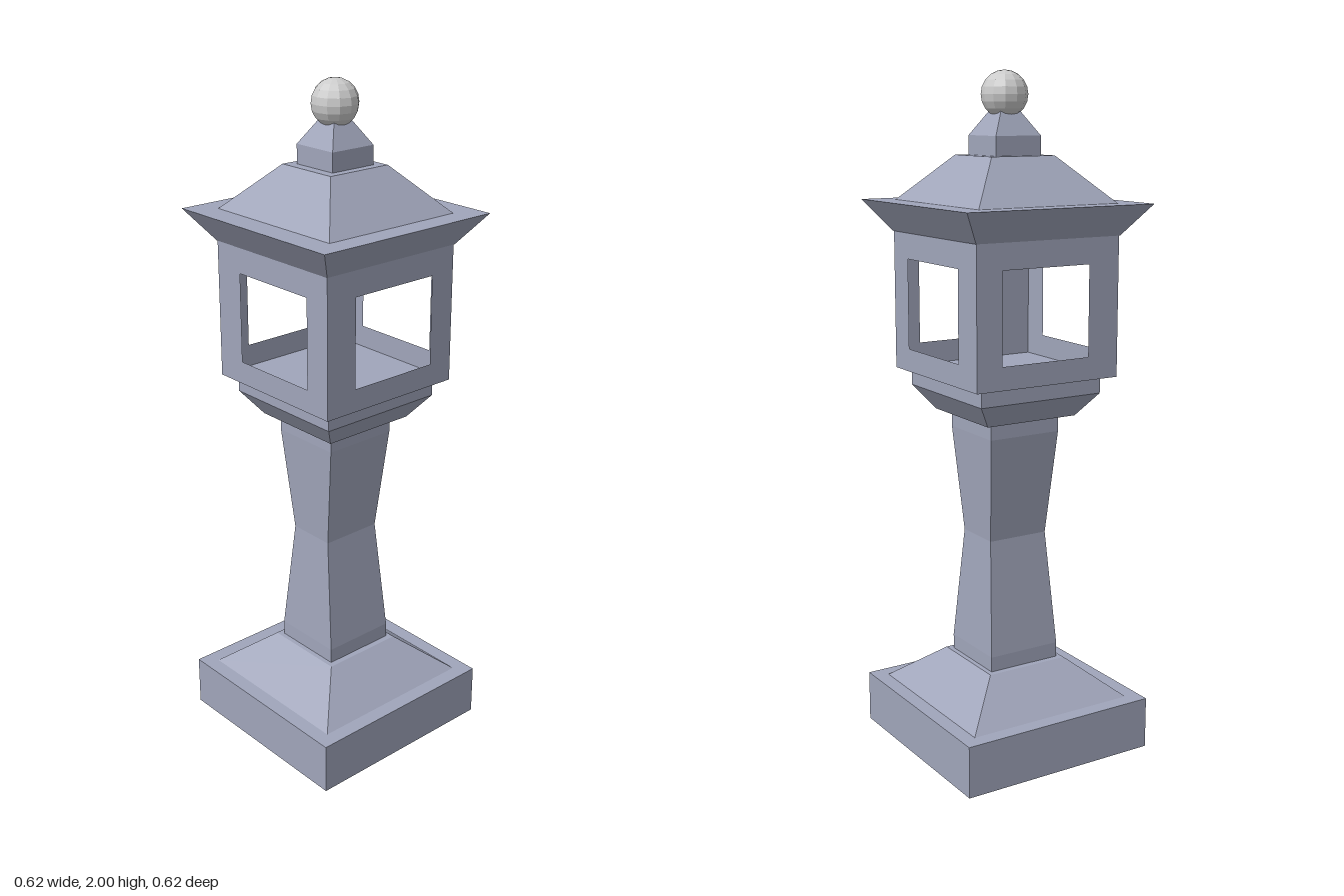
import * as THREE from 'three';

const stone = new THREE.MeshStandardMaterial({ color: 0xa0a5ba, flatShading: true });
const thinStone = stone.clone();
thinStone.side = THREE.DoubleSide;
const ballMaterial = new THREE.MeshStandardMaterial({ color: 0xcccccc, flatShading: true });

// Square block through sections [y, half width, half depth], listed bottom to top
function loft(name, sections, openBottom = false) {
  const n = sections.length - 1;
  const geometry = new THREE.BoxGeometry(2, n, 2, 1, n, 1);
  const p = geometry.attributes.position;
  for (let i = 0; i < p.count; i++) {
    const [y, hx, hz = hx] = sections[Math.round(p.getY(i) + n / 2)];
    p.setXYZ(i, p.getX(i) * hx, y, p.getZ(i) * hz);
  }
  if (openBottom) {
    const { start, count } = geometry.groups[3];
    const index = Array.from(geometry.index.array);
    index.splice(start, count);
    geometry.setIndex(index);
  }
  geometry.clearGroups();
  geometry.computeVertexNormals();
  const mesh = new THREE.Mesh(geometry, openBottom ? thinStone : stone);
  mesh.name = name;
  return mesh;
}

// Thin wall with a window, shifted sideways by offset
function windowWall(half, y0, y1, offset) {
  const shape = new THREE.Shape([
    new THREE.Vector2(-half, y0), new THREE.Vector2(half, y0),
    new THREE.Vector2(half, y1), new THREE.Vector2(-half, y1),
  ]);
  const w = 0.143, b = 1.207, t = 1.47;
  shape.holes.push(new THREE.Path([
    new THREE.Vector2(offset - w, b), new THREE.Vector2(offset - w, t),
    new THREE.Vector2(offset + w, t), new THREE.Vector2(offset + w, b),
  ]));
  return new THREE.Mesh(new THREE.ShapeGeometry(shape).translate(0, 0, half), thinStone);
}

export function createModel() {
  const model = new THREE.Group();
  model.name = 'stoneLantern';

  // Hollow plinth, sloped foot, waisted column and flared capital
  model.add(
    loft('plinth', [[0, 0.31], [0.155, 0.31]], true),
    loft('foot', [[0.155, 0.265], [0.265, 0.13]]),
    loft('column', [[0.265, 0.115, 0.112], [0.31, 0.115, 0.112], [0.655, 0.095, 0.075],
      [0.97, 0.115, 0.112], [1.02, 0.115, 0.112]]),
    loft('capital', [[1.02, 0.148], [1.09, 0.2], [1.14, 0.2]]),
  );

  // Lamp chamber: four windowed walls and a floor
  const chamber = new THREE.Group();
  chamber.name = 'lampChamber';
  const half = 0.234;
  [0.01, -0.008, -0.01, 0.008].forEach((offset, i) => {
    const wall = windowWall(half, 1.14, 1.545, offset);
    wall.name = 'windowWall';
    wall.rotation.y = i * Math.PI / 2;
    chamber.add(wall);
  });
  const floor = new THREE.Mesh(new THREE.PlaneGeometry(2 * half, 2 * half), thinStone);
  floor.name = 'chamberFloor';
  floor.rotation.x = -Math.PI / 2;
  floor.position.y = 1.141;
  chamber.add(floor);
  model.add(chamber);

  // Eaves, roof and finial
  model.add(
    loft('eaves', [[1.545, 0.236], [1.635, 0.303]]),
    loft('roof', [[1.635, 0.227, 0.235], [1.765, 0.104, 0.1]]),
    loft('finialBase', [[1.765, 0.074], [1.82, 0.074], [1.89, 0.03]]),
  );
  const ball = new THREE.Mesh(new THREE.SphereGeometry(0.067, 12, 10), ballMaterial);
  ball.name = 'finialBall';
  ball.position.y = 1.933;
  model.add(ball);

  return model;
}
